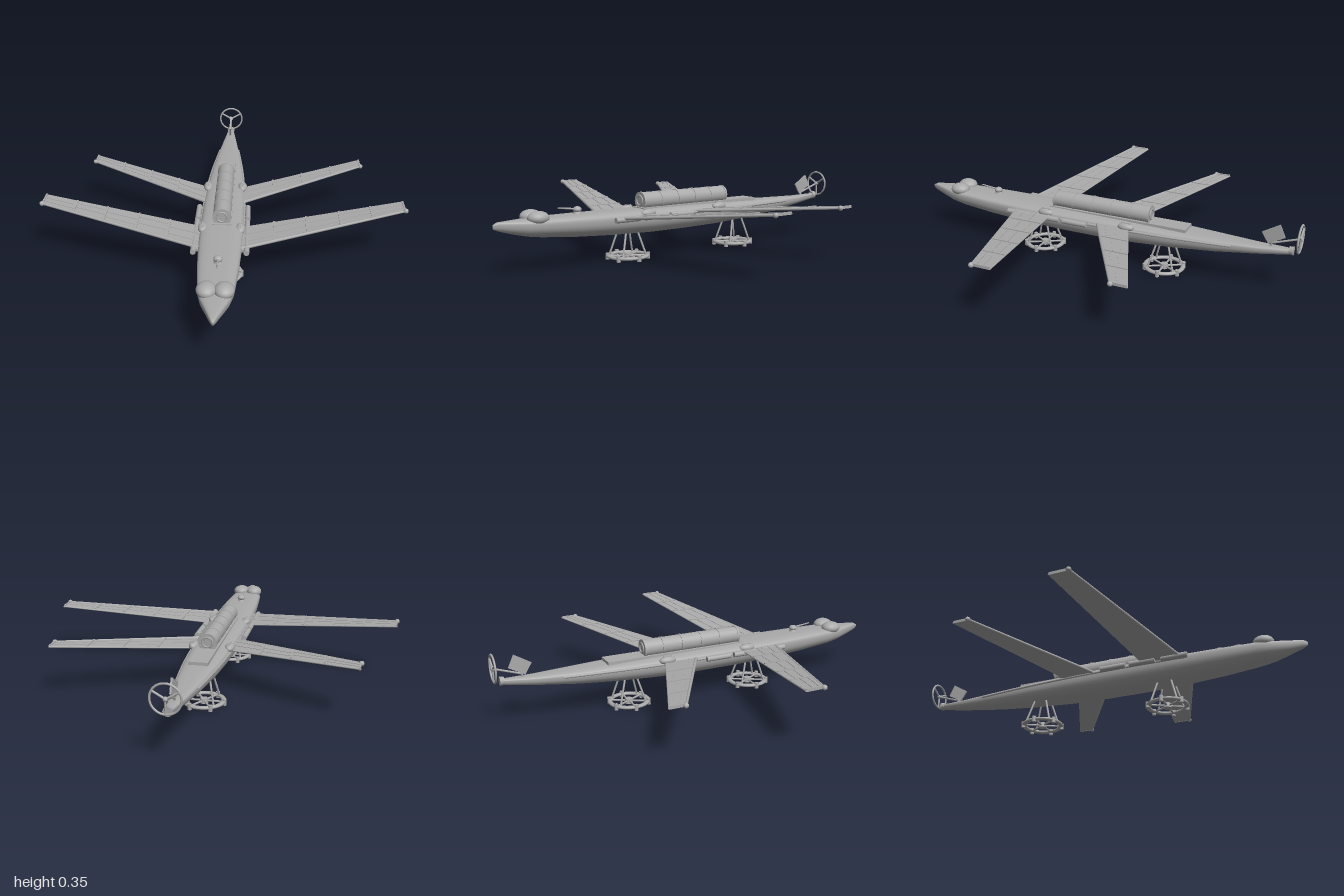
import * as THREE from 'three';

const grey = new THREE.MeshStandardMaterial({ color: 0xaaaaaa });
grey.name = 'hull grey';

const V = (x, y, z) => new THREE.Vector3(x, y, z);

function add(parent, name, geometry, x = 0, y = 0, z = 0) {
  const mesh = new THREE.Mesh(geometry, grey);
  mesh.name = name;
  mesh.position.set(x, y, z);
  parent.add(mesh);
  return mesh;
}

function group(parent, name) {
  const g = new THREE.Group();
  g.name = name;
  parent.add(g);
  return g;
}

// Round bar between two points
function rod(parent, name, a, b, r, r2 = r) {
  const m = add(parent, name, new THREE.CylinderGeometry(r2, r, a.distanceTo(b), 10));
  m.position.copy(a).lerp(b, 0.5);
  m.quaternion.setFromUnitVectors(V(0, 1, 0), b.clone().sub(a).normalize());
  return m;
}

function ellipsoid(parent, name, x, y, z, rx, ry, rz) {
  add(parent, name, new THREE.SphereGeometry(1, 20, 14), x, y, z).scale.set(rx, ry, rz);
}

// Hull stations: z, half width, bottom, top
const stations = [
  [1.0, 0.004, 0.208, 0.226], [0.98, 0.015, 0.198, 0.236], [0.92, 0.036, 0.18, 0.238],
  [0.85, 0.062, 0.163, 0.24], [0.78, 0.077, 0.153, 0.242], [0.6, 0.091, 0.137, 0.242],
  [0.4, 0.1, 0.126, 0.241], [0.2, 0.102, 0.12, 0.24], [0, 0.101, 0.12, 0.238],
  [-0.2, 0.095, 0.124, 0.235], [-0.4, 0.082, 0.135, 0.231], [-0.6, 0.062, 0.152, 0.227],
  [-0.8, 0.037, 0.177, 0.224], [-0.955, 0.014, 0.2, 0.228],
];

function hullWidth(z) {
  const i = Math.max(1, stations.findIndex((s) => s[0] <= z));
  const a = stations[i - 1], b = stations[i];
  return a[1] + (b[1] - a[1]) * (z - a[0]) / (b[0] - a[0]);
}

// Round belly with a flatter deck
function hullGeometry() {
  const n = 32, pos = [], idx = [];
  for (const [z, w, bottom, top] of stations) {
    const mid = bottom + (top - bottom) * 0.7;
    for (let j = 0; j < n; j++) {
      const t = (j / n) * Math.PI * 2, c = Math.cos(t), s = Math.sin(t);
      const p = s > 0 ? 0.65 : 0.9;
      const x = w * Math.sign(c) * Math.abs(c) ** p;
      pos.push(x, mid + (s > 0 ? top - mid : mid - bottom) * Math.sign(s) * Math.abs(s) ** p, z);
    }
  }
  for (let i = 0; i < stations.length - 1; i++) {
    for (let j = 0; j < n; j++) {
      const a = i * n + j, b = i * n + (j + 1) % n;
      idx.push(a, a + n, b, b, a + n, b + n);
    }
  }
  const last = (stations.length - 1) * n;
  for (let j = 1; j < n - 1; j++) idx.push(0, j, j + 1, last, last + j + 1, last + j);
  const g = new THREE.BufferGeometry();
  g.setAttribute('position', new THREE.Float32BufferAttribute(pos, 3));
  g.setIndex(idx);
  g.computeVertexNormals();
  return g;
}

// Box bent onto a tapered wing: u runs root to tip, v trailing to leading edge
function wingPoint(w, side, u, v, h) {
  const lerp = THREE.MathUtils.lerp;
  return V(side * lerp(w.x[0], w.x[1], u), lerp(w.y[0], w.y[1], u) + h,
    lerp(lerp(w.back[0], w.back[1], u), lerp(w.front[0], w.front[1], u), v));
}

function wingPanel(w, side, u0, u1, v0, v1, h0, h1) {
  const g = new THREE.BoxGeometry(1, 1, 1), p = g.attributes.position;
  for (let i = 0; i < p.count; i++) {
    const u = u0 + (u1 - u0) * (0.5 + p.getX(i) * side);
    const q = wingPoint(w, side, u, v0 + (v1 - v0) * (p.getZ(i) + 0.5), h0 + (h1 - h0) * (p.getY(i) + 0.5));
    p.setXYZ(i, q.x, q.y, q.z);
  }
  g.computeVertexNormals();
  return g;
}

function buildWing(parent, name, w, side) {
  const g = group(parent, name);
  add(g, 'wingSkin', wingPanel(w, side, 0, 1, 0, 1, -0.004, 0.004));
  // Chordwise ribs
  const span = w.x[1] - w.x[0];
  const us = w.ribs.map((x) => (x - w.x[0]) / span);
  for (const u of us) add(g, 'wingRib', wingPanel(w, side, u - 0.004 / span, u + 0.004 / span, -0.01, 1, 0, 0.008));
  add(g, 'tipRib', wingPanel(w, side, 1 - 0.008 / span, 1, 0, 1, -0.005, 0.008));
  // Staggered panel seams
  const edges = [0, ...us, 1];
  for (let i = 0; i < edges.length - 1; i++) {
    for (const v of i % 2 ? [0.25, 0.6] : [0.4, 0.75]) {
      add(g, 'panelSeam', wingPanel(w, side, edges[i], edges[i + 1], v - 0.01, v + 0.01, 0, 0.006));
    }
  }
  // Spars and tip ball
  rod(g, 'leadingSpar', wingPoint(w, side, 0, 1, 0), wingPoint(w, side, 1, 1, 0), 0.008, 0.006);
  rod(g, 'trailingSpar', wingPoint(w, side, 0, 0, 0), wingPoint(w, side, 1, 0, 0), 0.004);
  const tip = wingPoint(w, side, 1, 1, 0);
  ellipsoid(g, 'tipBall', tip.x, tip.y, tip.z, 0.012, 0.012, 0.012);
}

// Flat spoked landing ring on four splayed legs
function buildLanding(parent, name, z) {
  const g = group(parent, name);
  g.position.z = z;
  const ring = add(g, 'landingRing', new THREE.TorusGeometry(0.092, 0.012, 10, 40), 0, 0.016, 0);
  ring.rotation.x = Math.PI / 2;
  ring.scale.z = 0.7;
  add(g, 'landingHub', new THREE.CylinderGeometry(0.018, 0.02, 0.024, 16), 0, 0.016, 0);
  for (let i = 0; i < 6; i++) {
    const a = (i * Math.PI) / 3, c = Math.cos(a), s = Math.sin(a);
    rod(g, 'landingSpoke', V(0, 0.016, 0), V(c * 0.09, 0.016, s * 0.09), 0.005);
    add(g, 'landingPad', new THREE.CylinderGeometry(0.01, 0.01, 0.03, 10), c * 0.097, 0.015, s * 0.097);
  }
  for (const sx of [-1, 1]) for (const sz of [-1, 1]) {
    rod(g, 'landingLeg', V(sx * 0.06, 0.018, sz * 0.066), V(sx * 0.034, 0.145, sz * 0.03), 0.005);
  }
}

export function createModel() {
  const model = new THREE.Group();
  model.name = 'dragonflyAirship';
  add(model, 'hull', hullGeometry());

  // Cabin: banded cylinder on a deck plate
  add(model, 'deckPlate', new THREE.BoxGeometry(0.09, 0.016, 0.72), 0, 0.236, -0.1);
  const cabin = add(model, 'cabin', new THREE.CylinderGeometry(0.042, 0.042, 0.51, 32), 0, 0.272, -0.012);
  cabin.rotation.x = Math.PI / 2;
  for (const z of [0.24, 0.137, 0.035, -0.068, -0.17, -0.265]) {
    add(model, 'cabinBand', new THREE.CylinderGeometry(0.0445, 0.0445, 0.01, 32), 0, 0.272, z).rotation.x = Math.PI / 2;
  }
  for (const z of [0.247, -0.272]) add(model, 'cabinHatch', new THREE.TorusGeometry(0.024, 0.004, 8, 24), 0, 0.275, z);

  // Bow gun
  add(model, 'gunBase', new THREE.CylinderGeometry(0.014, 0.022, 0.02, 16), 0, 0.246, 0.59);
  ellipsoid(model, 'gunBall', 0, 0.26, 0.59, 0.02, 0.015, 0.02);
  rod(model, 'gunBarrel', V(0, 0.262, 0.59), V(0, 0.274, 0.69), 0.005, 0.003);

  const frontWing = { x: [0.09, 0.86], y: [0.213, 0.295], back: [0.235, 0.095], front: [0.425, 0.185], ribs: [0.245, 0.395, 0.55, 0.7] };
  const rearWing = { x: [0.09, 0.71], y: [0.213, 0.262], back: [-0.185, -0.45], front: [-0.025, -0.375], ribs: [0.245, 0.395, 0.55] };

  for (const side of [-1, 1]) {
    const label = side > 0 ? 'left' : 'right';
    ellipsoid(model, label + 'Eye', side * 0.037, 0.244, 0.805, 0.043, 0.031, 0.05);
    buildWing(model, label + 'FrontWing', frontWing, side);
    buildWing(model, label + 'RearWing', rearWing, side);

    // Wing root domes with slits
    for (const z of [0.26, -0.175]) {
      ellipsoid(model, label + 'RootDome', side * 0.088, 0.225, z, 0.023, 0.02, 0.042);
      add(model, label + 'DomeSlit', new THREE.BoxGeometry(0.007, 0.008, 0.045), side * 0.088, 0.243, z);
    }
    // Side tubes with brackets
    for (const z of [0.395, 0.235, 0.085]) {
      const tube = add(model, label + 'SideTube', new THREE.CylinderGeometry(0.013, 0.013, 0.13, 14), side * 0.12, 0.21, z);
      tube.rotation.x = Math.PI / 2;
      for (const dz of [-0.04, 0.04]) {
        add(model, label + 'TubeBracket', new THREE.BoxGeometry(0.04, 0.012, 0.012), side * 0.1, 0.21, z + dz);
      }
    }
    // Strake following the hull side
    const path = [0.45, 0.25, 0, -0.2, -0.4, -0.55, -0.68].map((z) => V(side * hullWidth(z), 0.208, z));
    add(model, label + 'Strake', new THREE.TubeGeometry(new THREE.CatmullRomCurve3(path), 32, 0.006, 8));
  }

  buildLanding(model, 'frontLanding', 0.318);
  buildLanding(model, 'rearLanding', -0.345);

  // Tail fin
  const outline = [[-0.842, 0.234], [-0.81, 0.286], [-0.89, 0.334], [-0.917, 0.275]];
  const finShape = new THREE.Shape(outline.map(([z, y]) => new THREE.Vector2(-z, y)));
  const fin = add(model, 'tailFin', new THREE.ExtrudeGeometry(finShape, { depth: 0.008, bevelEnabled: false }), -0.004, 0, 0);
  fin.rotation.y = Math.PI / 2;
  rod(model, 'finPost', V(0, 0.215, -0.85), V(0, 0.26, -0.865), 0.005);

  // Tail collar and ringed propeller
  add(model, 'tailCollar', new THREE.CylinderGeometry(0.021, 0.018, 0.02, 20), 0, 0.219, -0.95).rotation.x = -Math.PI / 2;
  rod(model, 'propellerShaft', V(0, 0.24, -0.86), V(0, 0.282, -0.985), 0.005);
  const prop = group(model, 'propeller');
  prop.position.set(0, 0.282, -0.985);
  add(prop, 'propellerRing', new THREE.TorusGeometry(0.064, 0.005, 8, 40));
  ellipsoid(prop, 'propellerHub', 0, 0, 0, 0.011, 0.011, 0.011);
  for (let i = 0; i < 3; i++) {
    const a = Math.PI / 6 + (i * Math.PI * 2) / 3;
    rod(prop, 'propellerBlade', V(0, 0, 0), V(Math.cos(a) * 0.064, Math.sin(a) * 0.064, 0), 0.005);
  }
  return model;
}
